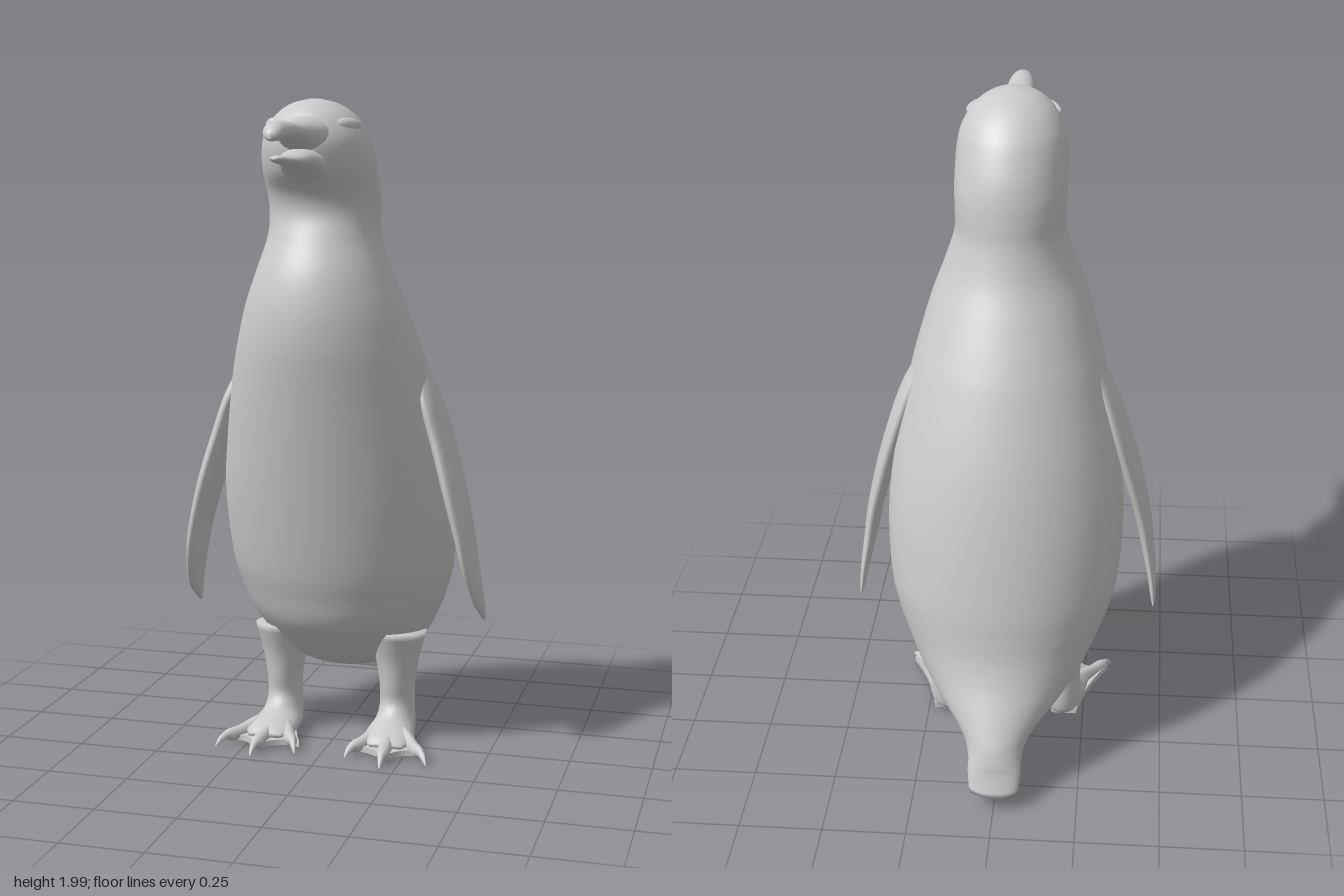
import * as THREE from 'three';

const material = new THREE.MeshStandardMaterial({ color: 0xcccccc });

function add(parent, name, geometry) {
  const mesh = new THREE.Mesh(geometry, material);
  mesh.name = name;
  parent.add(mesh);
  return mesh;
}

// Smooth skin over oval sections. Each section is
// [front z, front y, back z, back y, half width, x offset].
function loft(sections, rows, sides) {
  const curve = (pick) => new THREE.CatmullRomCurve3(
    sections.map((s) => new THREE.Vector3(...pick(s))), false, 'catmullrom', 0.5);
  const front = curve((s) => [s[5] || 0, s[1], s[0]]);
  const back = curve((s) => [s[5] || 0, s[3], s[2]]);
  const width = curve((s) => [s[4], 0, 0]);
  const pos = [], index = [];
  for (let i = 0; i <= rows; i++) {
    const f = front.getPoint(i / rows), b = back.getPoint(i / rows);
    const w = Math.max(0.001, width.getPoint(i / rows).x);
    const mid = f.clone().add(b).multiplyScalar(0.5);
    const half = f.clone().sub(b).multiplyScalar(0.5);
    for (let j = 0; j < sides; j++) {
      const a = (j / sides) * Math.PI * 2, c = Math.cos(a);
      pos.push(mid.x + half.x * c + w * Math.sin(a), mid.y + half.y * c, mid.z + half.z * c);
    }
  }
  for (let i = 0; i < rows; i++) {
    for (let j = 0; j < sides; j++) {
      const k = (j + 1) % sides;
      const a = i * sides + j, b = i * sides + k, c = a + sides, d = b + sides;
      index.push(a, c, b, b, c, d);
    }
  }
  // End caps
  for (const [t, row] of [[0, 0], [1, rows]]) {
    const centre = pos.length / 3;
    const m = front.getPoint(t).add(back.getPoint(t)).multiplyScalar(0.5);
    pos.push(m.x, m.y, m.z);
    for (let j = 0; j < sides; j++) {
      const a = row * sides + j, b = row * sides + ((j + 1) % sides);
      index.push(centre, t ? b : a, t ? a : b);
    }
  }
  const g = new THREE.BufferGeometry();
  g.setAttribute('position', new THREE.Float32BufferAttribute(pos, 3));
  g.setIndex(index);
  g.computeVertexNormals();
  return g;
}

// Level section: height, front z, back z, half width, x offset
const level = (y, zf, zb, w, x = 0) => [zf, y, zb, y, w, x];
// Upright section for parts that run forward: z, top y, bottom y, half width, x offset
const upright = (z, top, bottom, w, x = 0) => [z, top, z, bottom, w, x];

function makeFoot(side) {
  const foot = new THREE.Group();
  foot.name = side > 0 ? 'leftLeg' : 'rightLeg';
  const cx = side * 0.185;

  // Leg bending forward into the foot
  add(foot, 'leg', loft([
    [0.03, 0.37, -0.22, 0.34, 0.09, cx],
    [-0.005, 0.27, -0.185, 0.26, 0.068, cx],
    [-0.018, 0.19, -0.172, 0.17, 0.055, cx],
    [-0.025, 0.135, -0.17, 0.08, 0.055, cx],
    [0, 0.1, -0.15, 0.03, 0.062, cx],
    [0.035, 0.085, -0.08, 0.015, 0.072, cx],
    [0.09, 0.065, 0.03, 0.018, 0.075, cx + side * 0.005],
    [0.12, 0.045, 0.1, 0.025, 0.05, cx + side * 0.01],
  ], 32, 24));

  // Web with scalloped front edge
  const shape = new THREE.Shape();
  const x = (v) => side * v;
  shape.moveTo(x(0.15), -0.13);
  shape.quadraticCurveTo(x(0.13), 0, x(0.075), 0.125);
  shape.quadraticCurveTo(x(0.135), 0.085, x(0.205), 0.175);
  shape.quadraticCurveTo(x(0.255), 0.075, x(0.325), 0.125);
  shape.quadraticCurveTo(x(0.25), 0, x(0.23), -0.13);
  shape.closePath();
  const web = new THREE.ExtrudeGeometry(shape, { depth: 0.018, bevelEnabled: false, curveSegments: 10 });
  web.rotateX(Math.PI / 2);
  add(foot, 'web', web).position.y = 0.034;

  // Three toes, each ending in a downturned claw
  for (const [tipX, tipZ] of [[0.08, 0.165], [0.205, 0.225], [0.335, 0.165]]) {
    const at = (t, top, bottom, w) =>
      upright(-0.04 + (tipZ + 0.04) * t, top, bottom, w, side * (0.185 + (tipX - 0.185) * t));
    add(foot, 'toe', loft([
      at(0, 0.09, 0.02, 0.03), at(0.35, 0.075, 0.016, 0.028), at(0.6, 0.06, 0.014, 0.022),
      at(0.76, 0.056, 0.014, 0.021), at(0.84, 0.05, 0.024, 0.013),
      at(0.93, 0.037, 0.018, 0.008), at(1, 0.013, 0.008, 0.002),
    ], 24, 12));
  }
  return foot;
}

function makeFlipper(side) {
  const s = (y, zf, zb, x, w) => level(y, zf, zb, w, side * x);
  return loft([
    s(1.24, 0.04, -0.07, 0.25, 0.02),
    s(1.12, 0.1, -0.1, 0.3, 0.03),
    s(1.0, 0.115, -0.11, 0.34, 0.031),
    s(0.85, 0.135, -0.095, 0.383, 0.03),
    s(0.7, 0.13, -0.075, 0.42, 0.025),
    s(0.6, 0.11, -0.068, 0.438, 0.021),
    s(0.5, 0.05, -0.078, 0.455, 0.014),
    s(0.44, -0.03, -0.087, 0.462, 0.008),
    s(0.415, -0.07, -0.092, 0.464, 0.003),
  ], 40, 24);
}

export function createModel() {
  const model = new THREE.Group();
  model.name = 'penguin';

  // Head, body and tail in one skin; the last sections swing under to the tail
  add(model, 'body', loft([
    level(2.0, 0.22, 0.18, 0.015),
    level(1.985, 0.28, 0.11, 0.07),
    level(1.95, 0.325, 0.05, 0.118),
    level(1.9, 0.35, 0.0, 0.15),
    level(1.85, 0.35, -0.03, 0.163),
    level(1.79, 0.325, -0.057, 0.167),
    level(1.73, 0.27, -0.073, 0.167),
    level(1.67, 0.255, -0.082, 0.165),
    level(1.6, 0.28, -0.092, 0.168),
    level(1.5, 0.325, -0.125, 0.2),
    level(1.4, 0.345, -0.18, 0.238),
    level(1.3, 0.345, -0.235, 0.268),
    level(1.2, 0.33, -0.283, 0.295),
    level(1.0, 0.29, -0.36, 0.335),
    level(0.8, 0.245, -0.415, 0.36),
    level(0.6, 0.195, -0.455, 0.354),
    level(0.5, 0.16, -0.468, 0.333),
    [0.11, 0.39, -0.48, 0.43, 0.3],
    [-0.02, 0.265, -0.505, 0.36, 0.245],
    [-0.16, 0.21, -0.54, 0.295, 0.185],
    [-0.3, 0.205, -0.57, 0.24, 0.13],
    [-0.41, 0.18, -0.59, 0.2, 0.095],
    [-0.5, 0.155, -0.605, 0.155, 0.08],
    [-0.54, 0.12, -0.612, 0.12, 0.08],
    [-0.565, 0.078, -0.632, 0.06, 0.075],
  ], 120, 48));

  // Slightly open beak
  add(model, 'upperBeak', loft([
    upright(0.25, 1.965, 1.83, 0.1),
    upright(0.32, 1.953, 1.845, 0.078),
    upright(0.38, 1.942, 1.862, 0.056),
    upright(0.46, 1.936, 1.882, 0.043),
    upright(0.54, 1.94, 1.886, 0.038),
    upright(0.6, 1.935, 1.885, 0.03),
    upright(0.625, 1.92, 1.885, 0.02),
    upright(0.636, 1.905, 1.89, 0.005),
  ], 36, 24));
  add(model, 'lowerBeak', loft([
    upright(0.24, 1.86, 1.735, 0.1),
    upright(0.31, 1.862, 1.768, 0.075),
    upright(0.38, 1.86, 1.797, 0.054),
    upright(0.45, 1.848, 1.812, 0.04),
    upright(0.53, 1.845, 1.823, 0.03),
    upright(0.575, 1.846, 1.83, 0.02),
    upright(0.59, 1.842, 1.834, 0.005),
  ], 32, 24));

  for (const side of [1, -1]) {
    const name = side > 0 ? 'left' : 'right';
    add(model, name + 'Flipper', makeFlipper(side));
    model.add(makeFoot(side));
    // Low brow swelling over the eye
    const brow = add(model, name + 'Brow', new THREE.SphereGeometry(1, 20, 14));
    brow.scale.set(0.02, 0.022, 0.055);
    brow.position.set(side * 0.108, 1.925, 0.25);
    brow.rotation.y = -side * 0.55;
  }
  return model;
}
